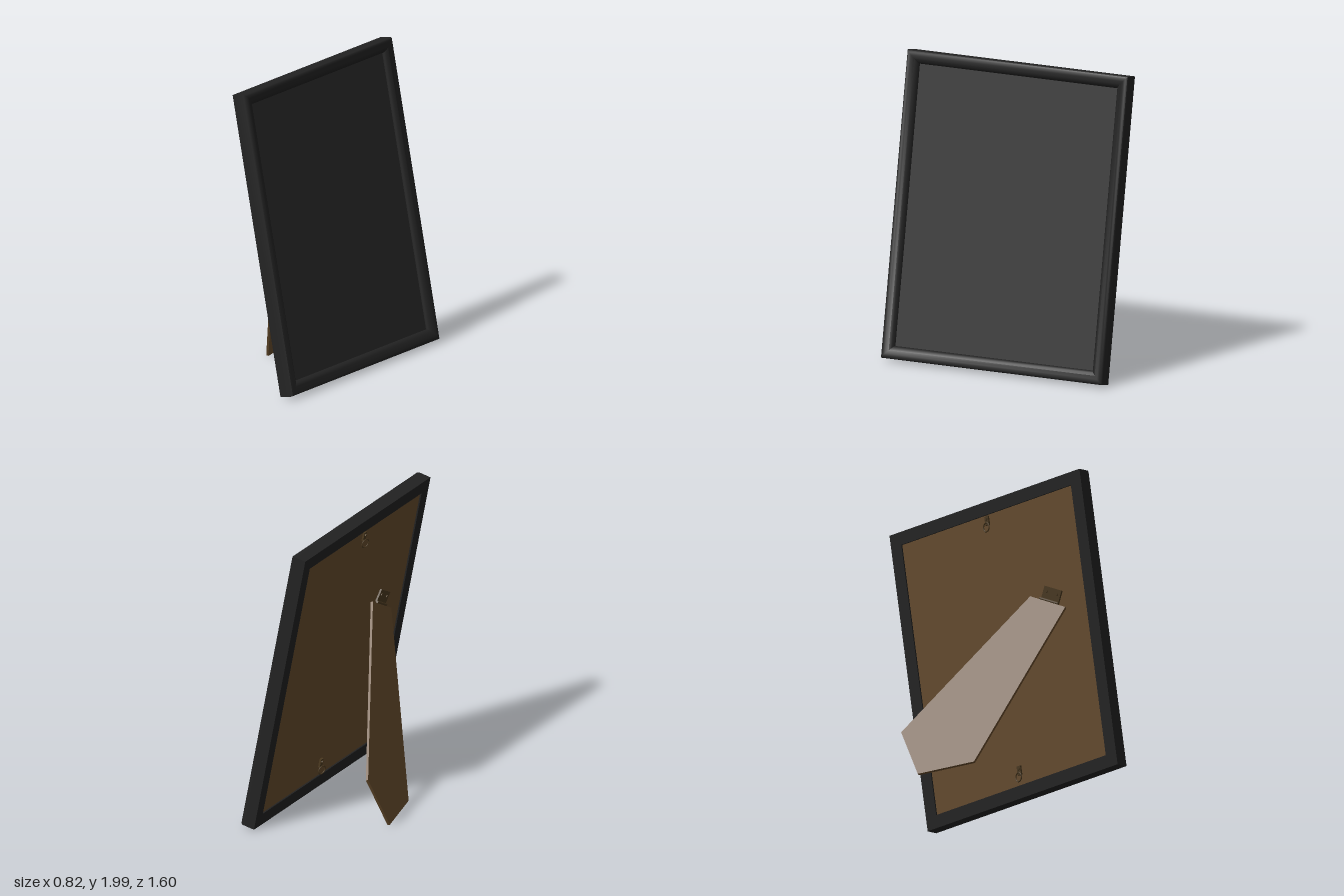
import * as THREE from 'three';
import { toCreasedNormals } from 'three/addons/utils/BufferGeometryUtils.js';

const material = (name, color) => {
  const m = new THREE.MeshStandardMaterial({ color });
  m.name = name;
  return m;
};

const H = 2.007, HALF = 0.8; // frame height and half width

// Mitred moulding: each profile point [inset, depth] becomes a rectangular ring
function mouldingGeometry(profile) {
  const ring = ([w, d]) => [
    [d, w, HALF - w], [d, w, w - HALF], [d, H - w, w - HALF], [d, H - w, HALF - w],
  ];
  const pos = [];
  profile.forEach((p, i) => {
    const a = ring(p), b = ring(profile[(i + 1) % profile.length]);
    for (let k = 0; k < 4; k++) {
      const n = (k + 1) % 4;
      for (const v of [a[k], a[n], b[n], a[k], b[n], b[k]]) pos.push(...v);
    }
  });
  const g = new THREE.BufferGeometry();
  g.setAttribute('position', new THREE.Float32BufferAttribute(pos, 3));
  return toCreasedNormals(g, 0.7);
}

// Flat slab through planar 3D points, thickened along the plane normal
function slabGeometry(points, thickness) {
  const [o, a] = points;
  const x = a.clone().sub(o).normalize();
  const z = x.clone().cross(points[points.length - 1].clone().sub(o)).normalize();
  const y = z.clone().cross(x);
  const shape = new THREE.Shape(points.map((p) => {
    const r = p.clone().sub(o);
    return new THREE.Vector2(r.dot(x), r.dot(y));
  }));
  const g = new THREE.ExtrudeGeometry(shape, { depth: thickness, bevelEnabled: false });
  return g.applyMatrix4(new THREE.Matrix4().makeBasis(x, y, z).setPosition(o));
}

export function createModel() {
  const black = material('black frame', 0x222222);
  const dark = material('dark glass', 0x282828);
  const brown = material('brown board', 0x6a4e2e);
  const metal = material('dark brass', 0x4c3a20);

  const model = new THREE.Group();
  model.name = 'pictureFrame';
  const add = (parent, name, geometry, mat, x = 0, y = 0, z = 0) => {
    const m = new THREE.Mesh(geometry, mat);
    m.name = name;
    m.position.set(x, y, z);
    parent.add(m);
    return m;
  };

  // Leaning frame: local x is depth towards the front, local y runs up the frame
  const frame = new THREE.Group();
  frame.name = 'leaningFrame';
  frame.position.set(0.295, 0.009, 0);
  frame.rotation.z = 0.193;
  model.add(frame);

  add(frame, 'moulding', mouldingGeometry([
    [0, 0], [0, 0.088], [0.005, 0.099], [0.016, 0.105], [0.034, 0.104],
    [0.055, 0.098], [0.072, 0.088], [0.082, 0.076], [0.086, 0.06], [0.086, 0],
  ]), black);
  add(frame, 'glass', new THREE.BoxGeometry(0.01, H - 0.16, 1.44), dark, 0.06, H / 2, 0);
  add(frame, 'backBoard', new THREE.BoxGeometry(0.03, H - 0.165, 1.435), brown, 0.025, H / 2, 0);

  // Hanging rings, one near each end of the back
  for (const [y, name] of [[0.16, 'lowerHanger'], [H - 0.15, 'upperHanger']]) {
    const hanger = new THREE.Group();
    hanger.name = name;
    hanger.position.set(0, y, 0);
    frame.add(hanger);
    add(hanger, 'strap', new THREE.BoxGeometry(0.014, 0.06, 0.03), metal, 0.004, 0.025, 0);
    const screw = add(hanger, 'screw', new THREE.CylinderGeometry(0.009, 0.009, 0.01, 10), metal, -0.006, 0.035, 0);
    screw.rotation.z = Math.PI / 2;
    const ring = add(hanger, 'ring', new THREE.TorusGeometry(0.03, 0.004, 6, 20), metal, -0.014, -0.022, 0);
    ring.rotation.set(0, Math.PI / 2 - 0.25, 0);
  }

  // Tilted hinge at the head of the stand
  const hinge = new THREE.Group();
  hinge.name = 'hinge';
  hinge.position.set(0, 1.21, 0.42);
  hinge.rotation.x = 0.5;
  frame.add(hinge);
  add(hinge, 'hingeLeaf', new THREE.BoxGeometry(0.012, 0.085, 0.15), metal, 0.004, 0.05, 0);
  const pin = add(hinge, 'hingePin', new THREE.CylinderGeometry(0.009, 0.009, 0.16, 10), metal, -0.006, 0.006, 0);
  pin.rotation.x = Math.PI / 2;
  for (const z of [-0.045, 0.045]) {
    const screw = add(hinge, 'hingeScrew', new THREE.CylinderGeometry(0.01, 0.01, 0.008, 10), metal, -0.004, 0.06, z);
    screw.rotation.z = Math.PI / 2;
  }

  // Five-sided easel leg with a clipped foot
  const leg = [
    [0.036, 1.27, 0.28], [0.06, 1.12, 0.555], [-0.3, 0.003, 0.105],
    [-0.4, 0.003, -0.29], [-0.367, 0.38, -0.47],
  ].map((p) => new THREE.Vector3(...p));
  add(model, 'easelLeg', slabGeometry(leg, 0.016), brown);

  return model;
}
